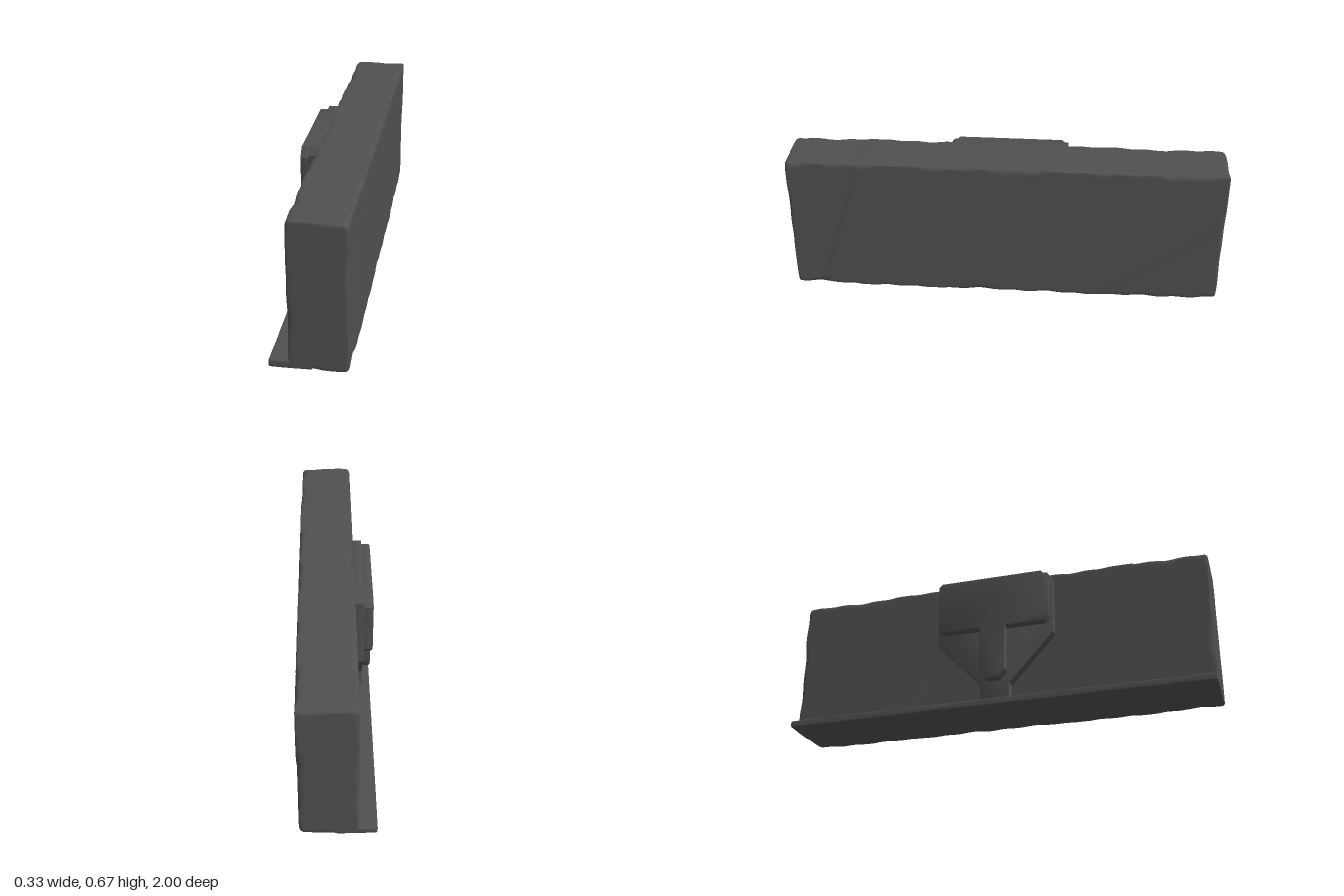
import * as THREE from 'three';
import { mergeVertices, toCreasedNormals } from 'three/addons/utils/BufferGeometryUtils.js';

const stone = new THREE.MeshStandardMaterial({ color: 0x505050 });
stone.name = 'darkStone';

const clamp = THREE.MathUtils.clamp;
const step = THREE.MathUtils.smoothstep;

// Smooth pseudo-random wobble, roughly -1..1
function wobble(x, y, z) {
  return (Math.sin(17 * z + 9 * x + 5 * y) + Math.sin(41 * z - 13 * y + 31 * x + 1.3)
    + Math.sin(29 * y + 23 * x - 7 * z + 2.1)) / 2.2;
}

// Block with worn edges: the rounding radius varies along each edge
function wornBlock(size, segments, rMin, rMax, shape) {
  const half = size.map((s) => s / 2);
  let geo = new THREE.BoxGeometry(2, 2, 2, ...segments);
  geo.deleteAttribute('uv');
  geo.deleteAttribute('normal');
  geo = mergeVertices(geo);
  const pos = geo.attributes.position;
  const p = new THREE.Vector3(), c = new THREE.Vector3();
  for (let i = 0; i < pos.count; i++) {
    // crowd the grid towards the edges
    p.fromBufferAttribute(pos, i).toArray().forEach((t, k) => {
      p.setComponent(k, Math.sin(t * Math.PI / 2) * half[k]);
    });
    const r = rMin + (rMax - rMin) * clamp(0.3 + 0.6 * wobble(p.x, p.y, p.z), 0, 1);
    for (let k = 0; k < 3; k++) {
      c.setComponent(k, clamp(p.getComponent(k), r - half[k], half[k] - r));
    }
    p.sub(c).setLength(r).add(c);
    if (shape) shape(p);
    pos.setXYZ(i, p.x, p.y, p.z);
  }
  geo.computeVertexNormals();
  return geo;
}

// Shallow steps in the wall where slabs have split along cracks
function cracks(p) {
  const up = p.y + 0.3325;
  const frontChunk = step(p.z - (0.65 + (0.665 - up) * 0.32), 0, 0.025);
  const backChunk = step(-0.42 - up * 1.4 - p.z, 0, 0.025);
  const reliefChunk = step(p.z + 0.45 - up * 0.5, 0, 0.025) * step(0.4 - p.z, 0, 0.3) * step(0.4 - up, 0, 0.2);
  if (p.x > 0) p.x -= 0.004 * Math.max(frontChunk, backChunk);
  else p.x += 0.006 * reliefChunk * step(-p.x, 0.08, 0.12);
  if (p.y > 0.2) p.y -= 0.004 * frontChunk;
}

// Relief plate from a (z, y) outline, standing out towards -x from xIn to xOut
function plate(name, outline, xIn, xOut, bevel) {
  const shape = new THREE.Shape(outline.map(([z, y]) => new THREE.Vector2(z, y)));
  const geo = new THREE.ExtrudeGeometry(shape, {
    depth: xIn - xOut - bevel, bevelEnabled: true, bevelThickness: bevel,
    bevelSize: bevel, bevelOffset: -bevel, bevelSegments: 2,
  });
  geo.rotateY(-Math.PI / 2);
  geo.translate(xIn, 0, 0);
  const mesh = new THREE.Mesh(toCreasedNormals(geo, 0.6), stone);
  mesh.name = name;
  return mesh;
}

export function createModel() {
  const model = new THREE.Group();
  model.name = 'stoneWall';

  // Main slab
  const wall = new THREE.Mesh(
    wornBlock([0.252, 0.665, 2], [18, 36, 120], 0.007, 0.032, cracks), stone);
  wall.name = 'wallSlab';
  wall.position.set(0.039, 0.3325, 0);
  model.add(wall);

  // Ledge along the foot of the decorated side
  const ledge = new THREE.Mesh(
    wornBlock([0.18, 0.033, 2], [12, 8, 80], 0.004, 0.011), stone);
  ledge.name = 'footLedge';
  ledge.position.set(-0.077, 0.0165, 0);
  model.add(ledge);

  // Shield-shaped back plate tapering to a foot
  model.add(plate('shieldPlate', [
    [-0.07, 0.025], [0.07, 0.025], [0.07, 0.115], [0.28, 0.345], [0.28, 0.625],
    [0.255, 0.66], [-0.28, 0.66], [-0.28, 0.345], [-0.07, 0.125],
  ], -0.075, -0.127, 0.003));

  // Raised T-shaped relief with clipped corners
  model.add(plate('raisedRelief', [
    [-0.035, 0.132], [0.03, 0.132], [0.06, 0.17], [0.06, 0.39], [0.25, 0.39],
    [0.27, 0.42], [0.27, 0.61], [0.235, 0.653], [-0.25, 0.653], [-0.27, 0.635],
    [-0.27, 0.41], [-0.255, 0.39], [-0.065, 0.39], [-0.065, 0.18],
  ], -0.12, -0.167, 0.008));

  return model;
}
